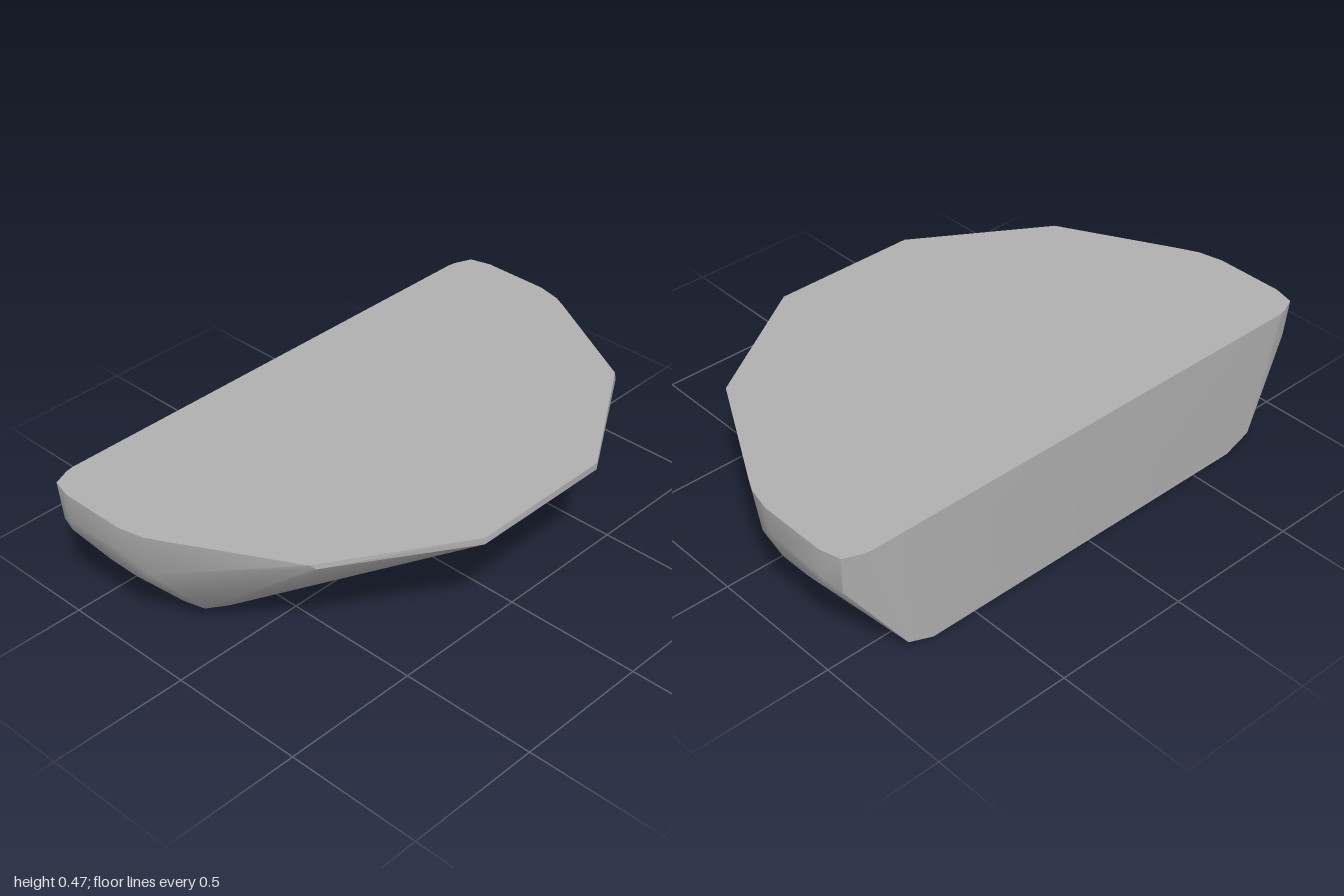
import * as THREE from 'three';
import { toCreasedNormals } from 'three/addons/utils/BufferGeometryUtils.js';
import { ConvexGeometry } from 'three/addons/geometries/ConvexGeometry.js';

// Corners of one half (z > 0); the other half is mirrored
const rim = [
  [-0.595, 0.89], [-0.59, 0.92], [-0.565, 0.98], [-0.49, 1], [-0.24, 1],
  [-0.15, 0.98], [-0.1, 0.955], [0.315, 0.73], [0.605, 0.27],
].map(([x, z]) => [x, 0.47, z]);

const flank = [
  [-0.555, 0.33, 0.972], [-0.49, 0.37, 1], [-0.25, 0.38, 1],
  [-0.5, 0.32, 0.985], [-0.36, 0.255, 0.95], [-0.24, 0.255, 0.95], [-0.16, 0.31, 0.96],
  [0.33, 0.455, 0.715], [0.605, 0.445, 0.27],
];

const base = [
  [-0.605, 0.04, 0.77], [-0.605, 0, 0.67], [-0.25, 0, 0.67],
  [-0.25, 0.04, 0.765], [-0.13, 0.032, 0.67], [-0.15, 0.06, 0.76],
];

export function createModel() {
  const group = new THREE.Group();
  group.name = 'rockSlab';
  const stone = new THREE.MeshStandardMaterial({ color: 0xb0b0b0 });
  stone.name = 'grey stone';

  const points = [];
  for (const [x, y, z] of [...rim, ...flank, ...base]) {
    for (const side of [1, -1]) points.push(new THREE.Vector3(x, y, z * side));
  }

  // Faceted hull with softened flanks and sharp top and end faces
  const geometry = toCreasedNormals(new ConvexGeometry(points), THREE.MathUtils.degToRad(42));
  const slab = new THREE.Mesh(geometry, stone);
  slab.name = 'slab';
  group.add(slab);
  return group;
}
